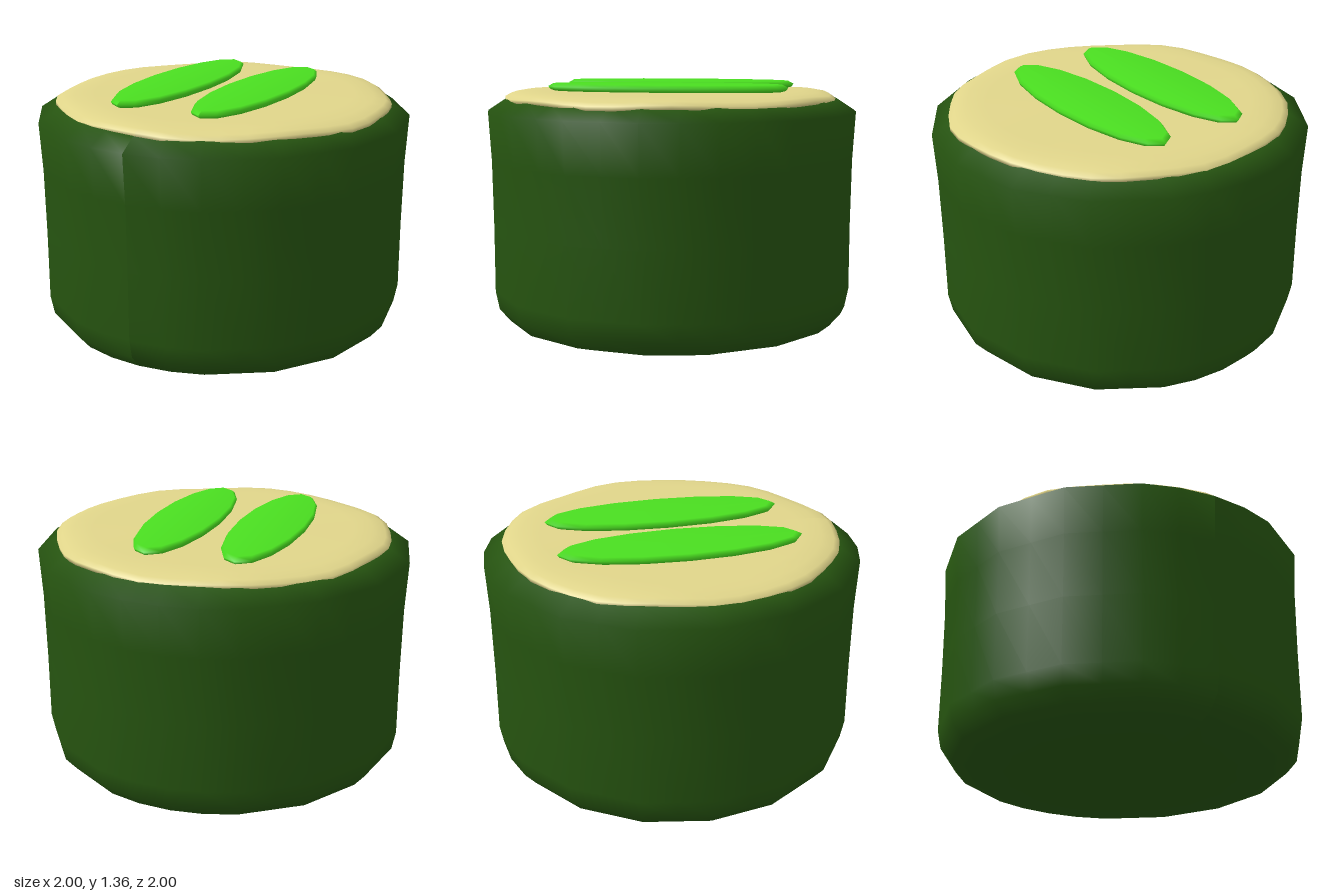
import * as THREE from 'three';

const material = (color) => new THREE.MeshStandardMaterial({ color, side: THREE.DoubleSide });

function lathe(name, profile, sides, color) {
  const points = profile.map(([r, y]) => new THREE.Vector2(r, y));
  const mesh = new THREE.Mesh(new THREE.LatheGeometry(points, sides), material(color));
  mesh.name = name;
  return mesh;
}

// Moves each vertex of a mesh by a rule taking and changing a Vector3
function reshape(mesh, rule) {
  const pos = mesh.geometry.attributes.position;
  const v = new THREE.Vector3();
  for (let i = 0; i < pos.count; i++) {
    v.fromBufferAttribute(pos, i);
    rule(v);
    pos.setXYZ(i, v.x, v.y, v.z);
  }
}

export function createModel() {
  const group = new THREE.Group();

  // Dark wrapper: rounded base, gently flared wall, bevelled rim
  const wrapper = lathe('wrapper', [
    [0, 0], [0.4, 0.008], [0.77, 0.03], [0.9, 0.07], [0.96, 0.14], [0.98, 0.24],
    [0.98, 0.6], [0.985, 0.95], [1, 1.21], [0.9, 1.275], [0.8, 1.285], [0, 1.285],
  ], 32, 0x265410);
  // Coarse 16-sided outline, with finer facets kept towards front and back
  reshape(wrapper, (v) => {
    const step = Math.round(Math.atan2(v.x, v.z) / (Math.PI / 16));
    const r = Math.hypot(v.x, v.z);
    if (step % 2 !== 0 && Math.abs(v.x) > 0.25 * r) {
      v.x *= Math.cos(Math.PI / 16);
      v.z *= Math.cos(Math.PI / 16);
    }
  });
  wrapper.geometry.computeVertexNormals();
  group.add(wrapper);

  // Pale filling with a slightly ragged edge
  const filling = lathe('filling', [
    [0, 1.322], [0.7, 1.32], [0.8, 1.315], [0.865, 1.302], [0.895, 1.285], [0.895, 1.265], [0.85, 1.25],
  ].reverse(), 40, 0xe0d58a);
  reshape(filling, (v) => {
    const r = Math.hypot(v.x, v.z);
    const a = Math.atan2(v.x, v.z);
    const edge = Math.max(0, (r - 0.7) / 0.2);
    const k = 1 + edge * (0.008 * Math.sin(5 * a + 1) + 0.006 * Math.sin(11 * a));
    v.x = v.x * k + 0.01;
    v.z *= k;
    v.y += edge * 0.006 * Math.sin(7 * a + 2);
  });
  filling.geometry.computeVertexNormals();
  group.add(filling);

  // Two long flat slices on top
  for (const [name, x] of [['rightSlice', -0.26], ['leftSlice', 0.21]]) {
    const slice = lathe(name, [
      [0, 1.315], [0.92, 1.315], [0.98, 1.327], [1, 1.343], [0.95, 1.36], [0, 1.36],
    ], 16, 0x4ade20);
    reshape(slice, (v) => { v.x *= 0.185; v.z *= 0.645; });
    slice.geometry.computeVertexNormals();
    slice.position.set(x, 0, -0.005);
    group.add(slice);
  }

  return group;
}
